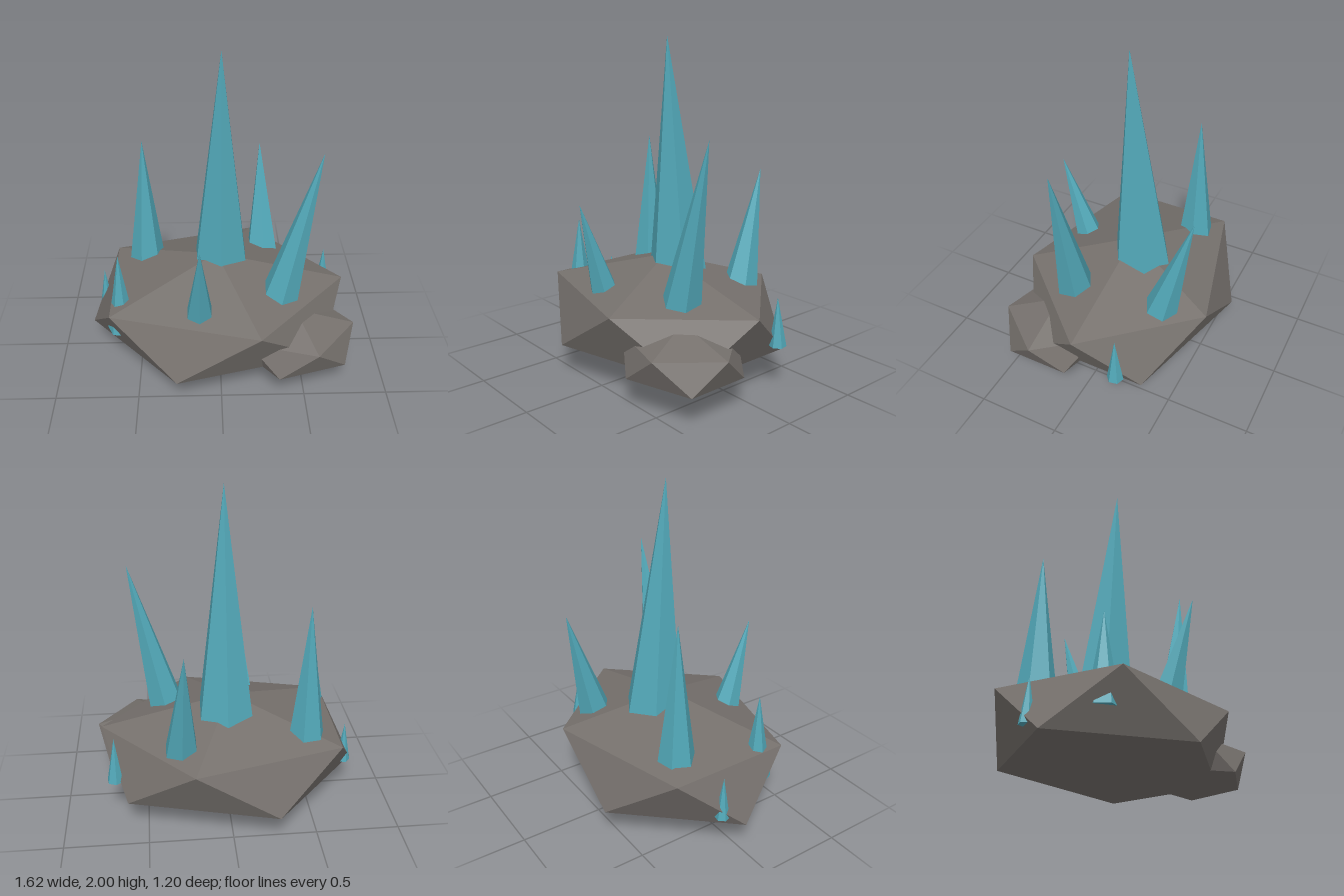
import * as THREE from 'three';
import { ConvexGeometry } from 'three/addons/geometries/ConvexGeometry.js';

const rockMaterial = new THREE.MeshStandardMaterial({ color: 0x75706c, flatShading: true });
const crystalMaterial = new THREE.MeshStandardMaterial({ color: 0x52a8b8, flatShading: true });

// Stretched icosahedron standing on a corner: two poles and two staggered rings of five
function makeRock(name, centre, radii) {
  const points = [new THREE.Vector3(0, 1, 0), new THREE.Vector3(0, -1, 0)];
  const h = 1 / Math.sqrt(5), r = 2 * h;
  for (let i = 0; i < 5; i++) {
    const a = (i * Math.PI * 2) / 5;
    const x = r * Math.cos(a), z = r * Math.sin(a);
    points.push(new THREE.Vector3(x, h, z), new THREE.Vector3(-x, -h, -z));
  }
  const scale = new THREE.Vector3(...radii);
  const rock = new THREE.Mesh(new ConvexGeometry(points.map((p) => p.multiply(scale))), rockMaterial);
  rock.name = name;
  rock.position.set(...centre);
  return rock;
}

// Six-sided spike from the centre of its base to its tip, twisted about its axis
function makeCrystal(name, base, tip, radius, twist = 0) {
  const from = new THREE.Vector3(...base);
  const axis = new THREE.Vector3(...tip).sub(from);
  const length = axis.length();
  const geometry = new THREE.ConeGeometry(radius, length, 6);
  geometry.translate(0, length / 2, 0);
  geometry.rotateY(THREE.MathUtils.degToRad(twist));
  const crystal = new THREE.Mesh(geometry, crystalMaterial);
  crystal.name = name;
  crystal.quaternion.setFromUnitVectors(new THREE.Vector3(0, 1, 0), axis.normalize());
  crystal.position.copy(from);
  return crystal;
}

export function createModel() {
  const model = new THREE.Group();
  model.name = 'crystalCluster';

  // Rocks
  model.add(makeRock('mainRock', [-0.02, 0.354, 0], [0.88, 0.35, 0.705]));
  model.add(makeRock('smallRock', [0.45, 0.28, 0.27], [0.402, 0.19, 0.362]));

  // Crystals: name, base centre, tip, base radius, twist in degrees
  const crystals = [
    ['centreCrystal', [0.01, 0.55, -0.08], [0.01, 2.0, 0.01], 0.188, 0],
    ['frontLeftCrystal', [0.343, 0.45, 0.2], [0.57, 1.48, 0.2], 0.127, 0],
    ['backRightCrystal', [-0.46, 0.48, -0.24], [-0.46, 1.36, -0.235], 0.118, 42],
    ['backLeftCrystal', [0.293, 0.45, -0.32], [0.27, 1.21, -0.51], 0.115, 0],
    ['frontCrystal', [-0.126, 0.46, 0.36], [-0.12, 1.07, 0.543], 0.095, 0],
    ['frontRightCrystal', [-0.6, 0.325, 0.235], [-0.597, 0.85, 0.235], 0.087, 25],
    ['leftShard', [0.69, 0.275, -0.24], [0.685, 0.565, -0.235], 0.05, 10],
    ['rightShard', [-0.73, 0.255, -0.115], [-0.73, 0.51, -0.11], 0.043, 20],
  ];
  for (const crystal of crystals) model.add(makeCrystal(...crystal));

  return model;
}
